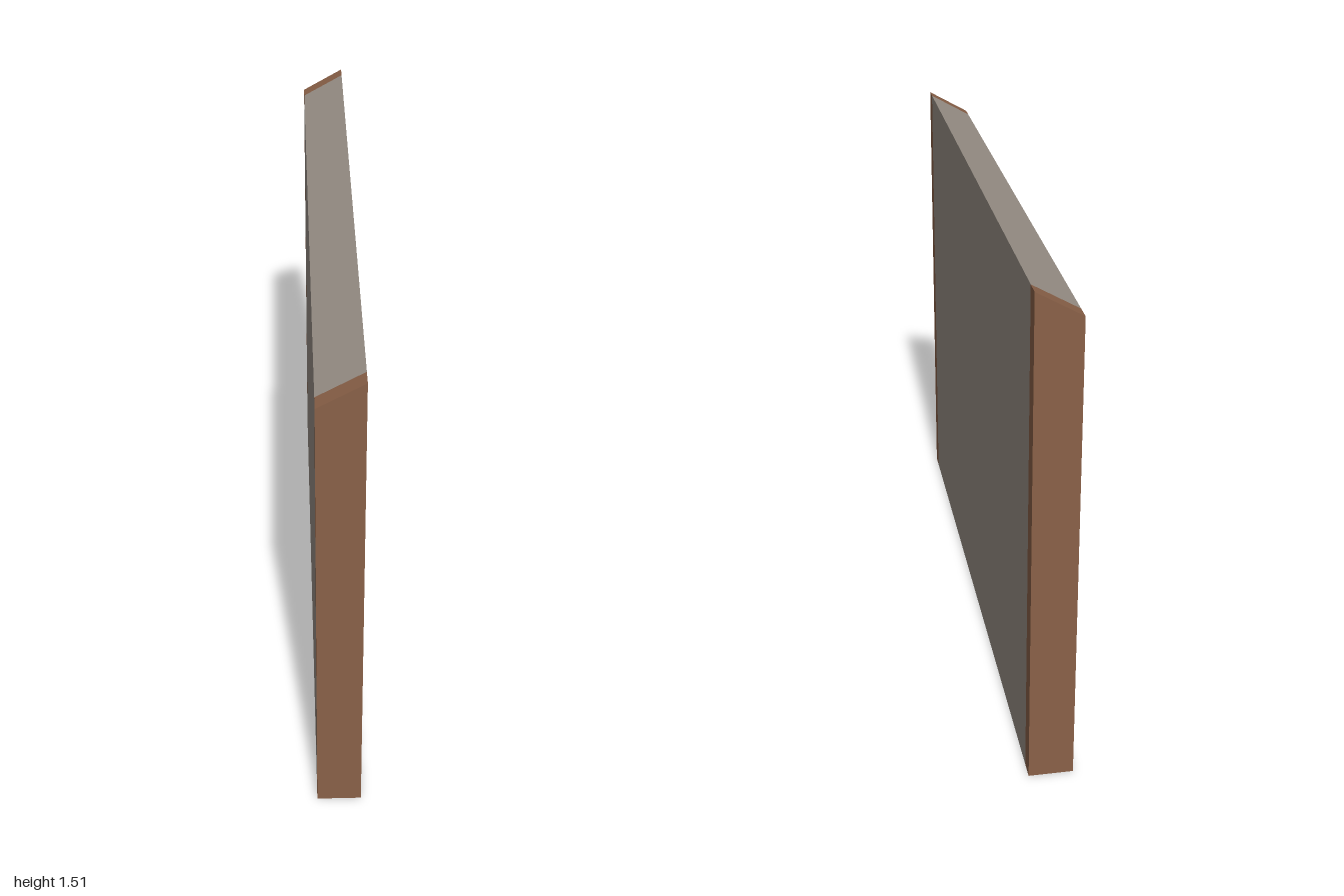
import * as THREE from 'three';

export function createModel() {
  const model = new THREE.Group();
  const grey = new THREE.MeshStandardMaterial({ color: 0x9a9188 });
  grey.name = 'plaster grey';
  const brown = new THREE.MeshStandardMaterial({ color: 0x8a6148 });
  brown.name = 'timber brown';

  // Wall cross-section with a sloping top
  const section = new THREE.Shape([
    [-0.066, 0], [0.066, 0], [0.066, 1.515], [-0.066, 1.44],
  ].map(([x, y]) => new THREE.Vector2(x, y)));

  function addSlab(name, z0, z1, material) {
    const geometry = new THREE.ExtrudeGeometry(section, { depth: z1 - z0, bevelEnabled: false });
    geometry.translate(0, 0, z0);
    const mesh = new THREE.Mesh(geometry, material);
    mesh.name = name;
    model.add(mesh);
  }

  // Panel between two end posts
  addSlab('wallPanel', -0.948, 0.948, grey);
  addSlab('frontPost', 0.948, 1, brown);
  addSlab('backPost', -1, -0.948, brown);

  return model;
}
